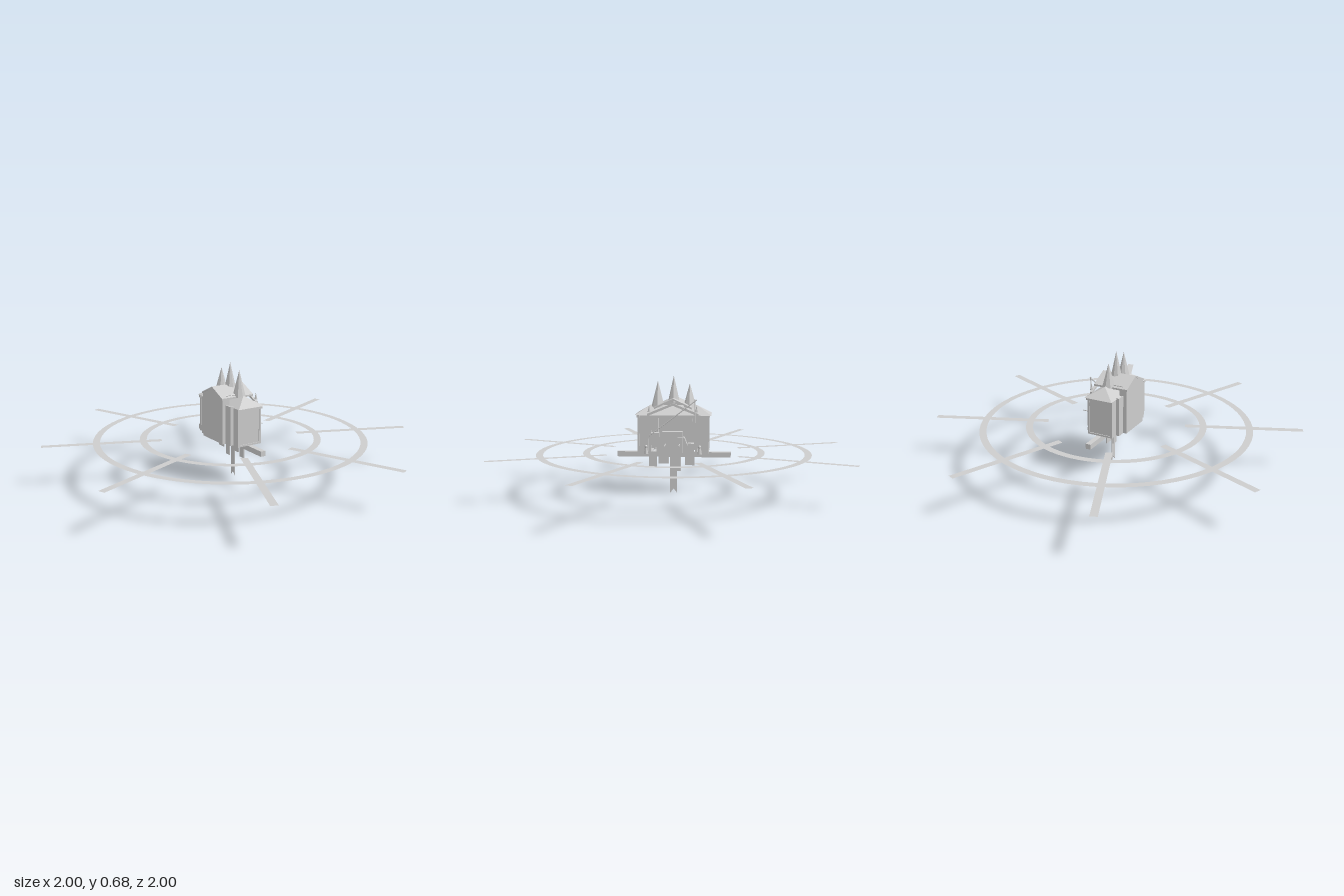
import * as THREE from 'three';

export function createModel() {
  const root = new THREE.Group();
  const grey = new THREE.MeshStandardMaterial({ color: 0xcccccc, side: THREE.DoubleSide, flatShading: true });
  grey.name = 'stone grey';

  const add = (name, geo, x = 0, y = 0, z = 0) => {
    const m = new THREE.Mesh(geo, grey);
    m.name = name;
    m.position.set(x, y, z);
    root.add(m);
    return m;
  };
  // box given by its lower and upper limits on each axis
  const box = (name, x0, x1, y0, y1, z0, z1) =>
    add(name, new THREE.BoxGeometry(x1 - x0, y1 - y0, z1 - z0), (x0 + x1) / 2, (y0 + y1) / 2, (z0 + z1) / 2);
  // outline of [z, y] points pushed out along x
  const slab = (name, pts, x0, x1) => {
    const shape = new THREE.Shape(pts.map(([z, y]) => new THREE.Vector2(-z, y)));
    const geo = new THREE.ExtrudeGeometry(shape, { depth: x1 - x0, bevelEnabled: false });
    geo.rotateY(Math.PI / 2);
    return add(name, geo, x0, 0, 0);
  };
  const rod = (name, a, b, r) => {
    const p = new THREE.Vector3(...a), q = new THREE.Vector3(...b);
    const m = add(name, new THREE.CylinderGeometry(r, r, p.distanceTo(q), 6));
    m.position.copy(p).lerp(q, 0.5);
    m.quaternion.setFromUnitVectors(new THREE.Vector3(0, 1, 0), q.sub(p).normalize());
    return m;
  };

  // flat rings and spokes around the building
  const level = 0.24;
  for (const [name, r0, r1] of [['innerRing', 0.485, 0.525], ['outerRing', 0.75, 0.79]]) {
    add(name, new THREE.RingGeometry(r0, r1, 72).rotateX(-Math.PI / 2), 0, level, 0);
  }
  for (let i = 0; i < 8; i++) {
    const geo = new THREE.PlaneGeometry(0.674, 0.04).rotateX(-Math.PI / 2);
    geo.translate(0.737, 0, 0).rotateY(Math.PI / 8 + i * Math.PI / 4);
    add('spoke', geo, 0, level + 0.0005, 0);
  }

  // support beam, hanging plates and swallow-tailed banner
  box('beam', -0.015, 0.015, 0.21, 0.24, -0.33, 0.33);
  for (const [z0, z1, y] of [[0.1, 0.145, 0.147], [0.03, 0.09, 0.168], [-0.04, -0.005, 0.125], [-0.12, -0.065, 0.16]]) {
    box('hangingPlate', -0.003, 0.003, y, 0.21, z0, z1);
  }
  slab('banner', [[-0.02, 0.24], [-0.02, 0], [0, 0.025], [0.02, 0], [0.02, 0.24]], 0.018, 0.022);

  // slatted floor with its two rails
  for (const x of [-0.07, 0.07]) box('floorRail', x - 0.006, x + 0.006, 0.24, 0.25, -0.2, 0.2);
  for (let i = 0; i < 15; i++) {
    const z = -0.182 + i * 0.026;
    box('floorSlat', -0.075, 0.075, 0.24, 0.247, z - 0.008, z + 0.008);
  }

  // central hall: back wall with gable, side walls, open front
  slab('hallBackWall', [[-0.105, 0.24], [0.105, 0.24], [0.105, 0.5], [0, 0.548], [-0.105, 0.5]], -0.12, -0.112);
  const chevron = (w, y0, y1, t) => [[-w, y0], [0, y1], [w, y0], [w, y0 - t], [0, y1 - t], [-w, y0 - t]];
  slab('hallRoof', chevron(0.107, 0.505, 0.555, 0.01), -0.124, 0.085);
  slab('facadeGable', chevron(0.145, 0.47, 0.53, 0.014), 0.078, 0.092);

  for (const s of [-1, 1]) {
    const span = (a, b) => s > 0 ? [a, b] : [-b, -a];
    box('hallSideWall', -0.12, -0.075, 0.24, 0.5, ...span(0.098, 0.105));
    box('steppedWall', -0.1, -0.092, 0.24, 0.465, ...span(0.1, 0.155));
    box('steppedWallEnd', -0.1, -0.07, 0.24, 0.465, ...span(0.148, 0.155));

    // end pavilion walls, framed on the outside
    box('pavilionEndWall', -0.075, 0.07, 0.24, 0.46, ...span(0.193, 0.199));
    box('pavilionBackWall', -0.08, -0.074, 0.24, 0.46, ...span(0.14, 0.199));
    box('pavilionFrontWall', 0.064, 0.07, 0.24, 0.46, ...span(0.14, 0.199));
    for (const x of [-0.082, 0.062]) box('cornerPost', x, x + 0.012, 0.24, 0.46, ...span(0.191, 0.204));
    box('baseTrim', -0.082, 0.074, 0.24, 0.25, ...span(0.193, 0.204));
    box('topTrim', -0.085, 0.08, 0.445, 0.46, ...span(0.19, 0.208));

    // facade column with a small figure and finial
    box('facadeColumn', 0.07, 0.085, 0.24, 0.455, ...span(0.125, 0.137));
    add('figureBody', new THREE.CylinderGeometry(0.007, 0.013, 0.035, 8), 0.093, 0.2575, s * 0.153);
    add('figureHead', new THREE.SphereGeometry(0.009, 8, 6), 0.093, 0.282, s * 0.153);
    add('finial', new THREE.ConeGeometry(0.009, 0.04, 6), 0.085, 0.5, s * 0.135);
    rod('sidePin', [-0.09, 0.515, s * 0.095], [-0.03, 0.515, s * 0.095], 0.003);
    rod('pin', [0.1, 0.3, s * 0.04], [0.2, 0.3, s * 0.04], 0.003);
  }
  box('facadeLintel', 0.068, 0.086, 0.445, 0.46, -0.145, 0.145);

  // long hipped roof
  const hx = 0.086, hz = 0.218, e = 0.46, r = 0.512, rz = 0.135;
  const hip = new THREE.BufferGeometry();
  hip.setAttribute('position', new THREE.Float32BufferAttribute([
    -hx, e, -hz, hx, e, -hz, hx, e, hz, -hx, e, hz, 0, r, -rz, 0, r, rz], 3));
  hip.setIndex([0, 4, 1, 3, 2, 5, 1, 4, 5, 1, 5, 2, 0, 3, 5, 0, 5, 4]);
  const hipFlat = hip.toNonIndexed();
  hipFlat.computeVertexNormals();
  add('hipRoof', hipFlat);

  // three spires
  for (const [z, top, rad, base] of [[0.092, 0.652, 0.038, 0.5], [0, 0.682, 0.034, 0.53], [-0.092, 0.637, 0.038, 0.5]]) {
    add('spire', new THREE.ConeGeometry(rad, top - base, 8), 0, (top + base) / 2, z);
  }

  // stage pieces on the open front
  slab('stageBlock', [[-0.085, 0.24], [0.085, 0.24], [0.085, 0.285], [0.065, 0.335], [-0.065, 0.335], [-0.085, 0.285]], 0.05, 0.095);
  box('stageCap', 0.06, 0.1, 0.335, 0.368, -0.055, 0.06);
  box('stagePanel', 0.105, 0.114, 0.25, 0.34, -0.055, 0.09);
  box('sideBlock', 0.05, 0.085, 0.29, 0.36, 0.08, 0.125);
  box('lowStep', 0.05, 0.09, 0.24, 0.3, -0.12, -0.085);
  rod('diagonalPole', [0.096, 0.34, 0.14], [0.096, 0.55, -0.135], 0.003);
  rod('upperPole', [0.096, 0.42, -0.125], [0.096, 0.552, -0.125], 0.003);

  return root;
}
